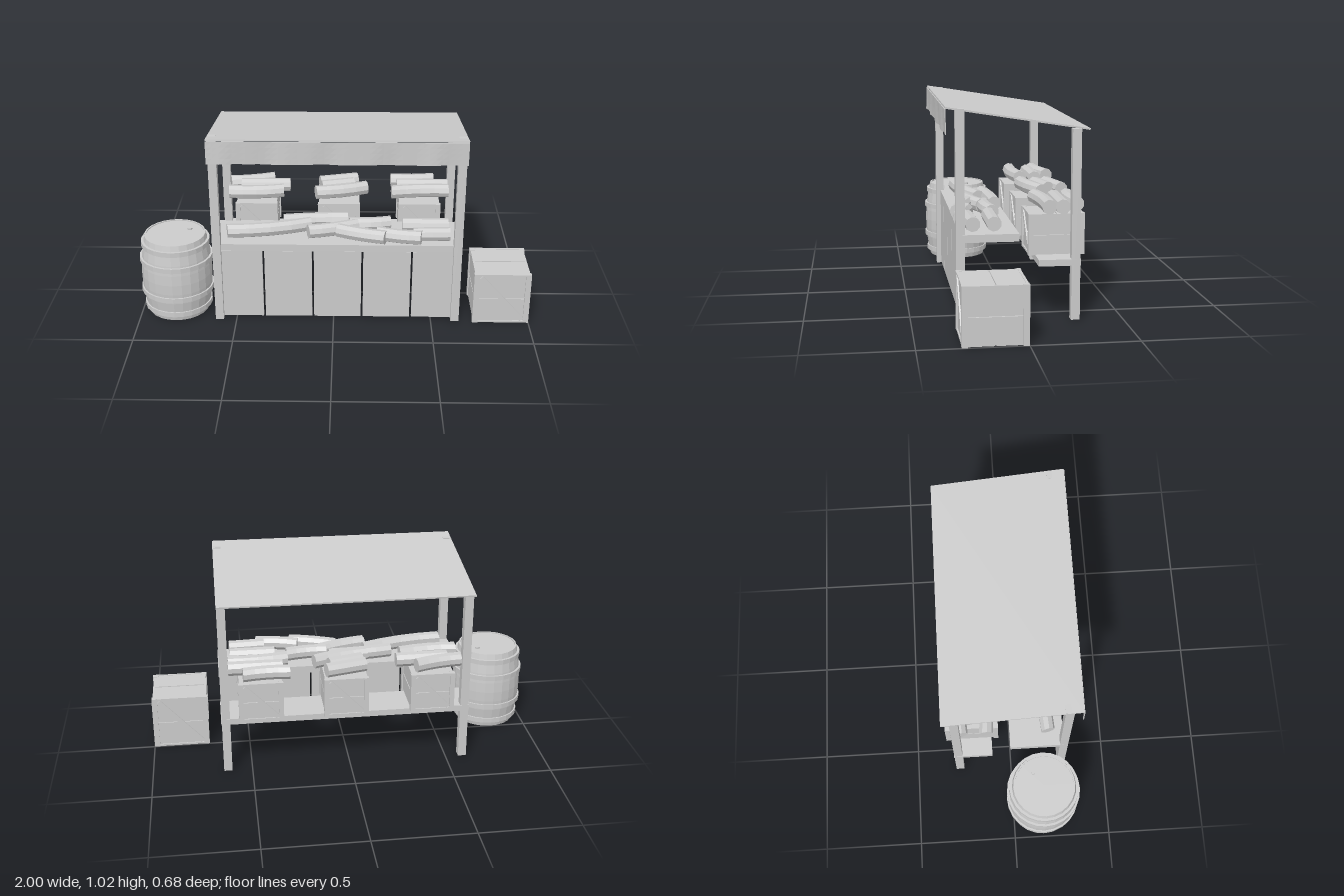
import * as THREE from 'three';

const grey = new THREE.MeshStandardMaterial({ color: 0xcccccc });
grey.name = 'plain grey';
grey.flatShading = true;

const CX = 0.018; // centre line of the stall

function add(parent, name, geometry, x = 0, y = 0, z = 0) {
  const mesh = new THREE.Mesh(geometry, grey);
  mesh.name = name;
  mesh.position.set(x, y, z);
  parent.add(mesh);
  return mesh;
}

// Box given by its low and high limits on each axis
function block(parent, name, x0, x1, y0, y1, z0, z1) {
  return add(parent, name, new THREE.BoxGeometry(x1 - x0, y1 - y0, z1 - z0),
    (x0 + x1) / 2, (y0 + y1) / 2, (z0 + z1) / 2);
}

// Slatted crate with corner posts and diagonal braces, standing on y = 0
function crate(name, w, h, d, t) {
  const g = new THREE.Group();
  g.name = name;
  const p = 0.008, gap = 0.004;
  block(g, 'crateCore', -w / 2 + 0.014, w / 2 - 0.014, 0.008, h - 0.008, -d / 2 + 0.014, d / 2 - 0.014);
  for (const s of [-1, 1]) {
    // two side boards and two front or back boards
    for (const [y0, y1] of [[0.006, h / 2 - gap], [h / 2 + gap, h - 0.002]]) {
      add(g, 'sideBoard', new THREE.BoxGeometry(0.01, y1 - y0, d - 2 * p), s * (w / 2 - 0.01), (y0 + y1) / 2, 0);
      add(g, 'faceBoard', new THREE.BoxGeometry(w - 2 * p, y1 - y0, 0.01), 0, (y0 + y1) / 2, s * (d / 2 - 0.013));
    }
    // lid and floor boards
    for (const y of [0.007, h - 0.007]) {
      add(g, 'flatBoard', new THREE.BoxGeometry(w - 2 * p, 0.01, d / 2 - p - gap), 0, y, s * (d / 4 - p / 2 + gap / 2));
    }
    // corner posts
    for (const q of [-1, 1]) {
      add(g, 'cornerPost', new THREE.BoxGeometry(t, h, t), s * (w / 2 - t / 2), h / 2, q * (d / 2 - t / 2));
    }
    // face rails and diagonal brace
    for (const y of [0.005, h - 0.005]) {
      add(g, 'rail', new THREE.BoxGeometry(w - 2 * t, 0.01, 0.012), 0, y, s * (d / 2 - 0.008));
    }
    const iw = w - 2 * t, ih = h - 0.02;
    const brace = add(g, 'brace', new THREE.BoxGeometry(Math.hypot(iw, ih) - t * 0.7, t * 0.9, 0.01), 0, h / 2, s * (d / 2 - 0.006));
    brace.rotation.z = -s * Math.atan2(ih, iw);
  }
  return g;
}

// Faceted log lying between two points, bent sideways in the middle
function log(parent, y, x0, z0, x1, z1, bend, r = 0.036) {
  const length = Math.hypot(x1 - x0, z1 - z0);
  const geo = new THREE.CylinderGeometry(r, r, length, 9, 4);
  geo.rotateZ(-Math.PI / 2);
  const pos = geo.attributes.position;
  for (let i = 0; i < pos.count; i++) {
    const u = pos.getX(i) / length * 2;
    pos.setZ(i, pos.getZ(i) + bend * (1 - u * u));
  }
  geo.computeVertexNormals();
  add(parent, 'log', geo, (x0 + x1) / 2, y, (z0 + z1) / 2).rotation.y = -Math.atan2(z1 - z0, x1 - x0);
}

function buildStall() {
  const g = new THREE.Group();
  g.name = 'stall';
  for (const x of [-0.587, 0.623]) {
    block(g, 'frontPost', x - 0.021, x + 0.021, 0, 1.006, 0.248, 0.29);
    block(g, 'backPost', x - 0.021, x + 0.021, 0, 0.907, -0.295, -0.253);
  }
  block(g, 'counterTop', -0.61, 0.647, 0.387, 0.424, -0.005, 0.267);
  block(g, 'backShelf', -0.61, 0.647, 0.264, 0.295, -0.297, -0.097);

  // upright counter boards
  for (let i = 0; i < 5; i++) {
    const x = -0.605 + i * 0.25;
    block(g, 'counterBoard', x + 0.005, x + 0.245, 0.01, 0.386, 0.25, 0.266);
  }

  // sloping roof
  const roof = add(g, 'roof', new THREE.BoxGeometry(1.255, 0.008, 0.677), CX, 0.9585, 0);
  roof.rotation.x = -Math.atan2(0.106, 0.668);

  // cloth valance that ripples towards its lower edge
  const cloth = new THREE.BoxGeometry(1.255, 0.115, 0.004, 40, 4, 1);
  const p = cloth.attributes.position;
  for (let i = 0; i < p.count; i++) {
    const drop = 0.5 - p.getY(i) / 0.115, x = p.getX(i);
    p.setZ(i, p.getZ(i) + drop * (0.004 * Math.sin(x * 19) + 0.002 * Math.sin(x * 43 + 1)));
  }
  cloth.computeVertexNormals();
  add(g, 'valance', cloth, CX, 0.9475, 0.335);
  return g;
}

function buildBarrel() {
  const g = new THREE.Group();
  g.name = 'barrel';
  g.position.set(-0.814, 0, 0.153);
  // bulging body with a slightly sunken lid
  const bulge = y => 0.182 - 0.026 * ((y - 0.215) / 0.215) ** 2;
  const profile = [[0, 0.002], [0.156, 0.002]];
  for (let i = 1; i < 8; i++) profile.push([bulge(i * 0.054), i * 0.054]);
  profile.push([0.156, 0.43], [0.148, 0.43], [0.148, 0.425], [0, 0.425]);
  add(g, 'body', new THREE.LatheGeometry(profile.map(a => new THREE.Vector2(...a)), 24));
  // hoops
  for (const [y, r] of [[0.043, 0.175], [0.131, 0.187], [0.302, 0.187], [0.388, 0.175]]) {
    const h = 0.013;
    const ring = [[r - 0.02, y - h], [r, y - h], [r, y + h], [r - 0.02, y + h]];
    add(g, 'hoop', new THREE.LatheGeometry(ring.map(a => new THREE.Vector2(...a)), 24));
  }
  add(g, 'bung', new THREE.CylinderGeometry(0.012, 0.012, 0.01, 10), 0.07, 0.429, -0.05);
  return g;
}

function buildLogs() {
  const g = new THREE.Group();
  g.name = 'logs';
  // x0, z0, x1, z1, bend
  const onCounter = [
    [-0.54, 0.19, -0.12, 0.1, 0.02], [-0.26, 0.07, 0.07, 0.04, -0.008],
    [-0.13, 0.19, 0.12, 0.11, 0.01], [0.02, 0.17, 0.26, 0.25, 0.008],
    [0.08, 0.1, 0.29, 0.08, 0.01], [0.22, 0.2, 0.44, 0.25, 0.01],
    [0.35, 0.105, 0.585, 0.105, 0], [0.4, 0.215, 0.585, 0.205, 0]
  ];
  const onCrates = [
    [-0.56, -0.125, -0.27, -0.145, 0.014], [-0.5, -0.215, -0.24, -0.22, 0], [-0.56, -0.25, -0.33, -0.3, 0.01],
    [-0.1, -0.12, 0.17, -0.19, 0.012], [-0.08, -0.25, 0.12, -0.3, 0], [-0.07, -0.19, 0.1, -0.235, 0],
    [0.3, -0.13, 0.6, -0.155, -0.01], [0.33, -0.22, 0.6, -0.22, 0], [0.3, -0.29, 0.53, -0.3, 0.01]
  ];
  onCounter.forEach(a => log(g, 0.46, ...a));
  onCrates.forEach(a => log(g, 0.536, ...a));
  return g;
}

export function createModel() {
  const model = new THREE.Group();
  model.name = 'marketStall';
  model.add(buildStall(), buildBarrel(), buildLogs());

  // crate on the ground
  const ground = crate('groundCrate', 0.288, 0.277, 0.3, 0.028);
  ground.position.set(0.856, 0, 0.15);
  model.add(ground);

  // crates on the back shelf
  for (const x of [-0.412, 0.022, 0.446]) {
    const c = crate('shelfCrate', 0.222, 0.2, 0.27, 0.024);
    c.position.set(x, 0.296, -0.197);
    model.add(c);
  }
  return model;
}
